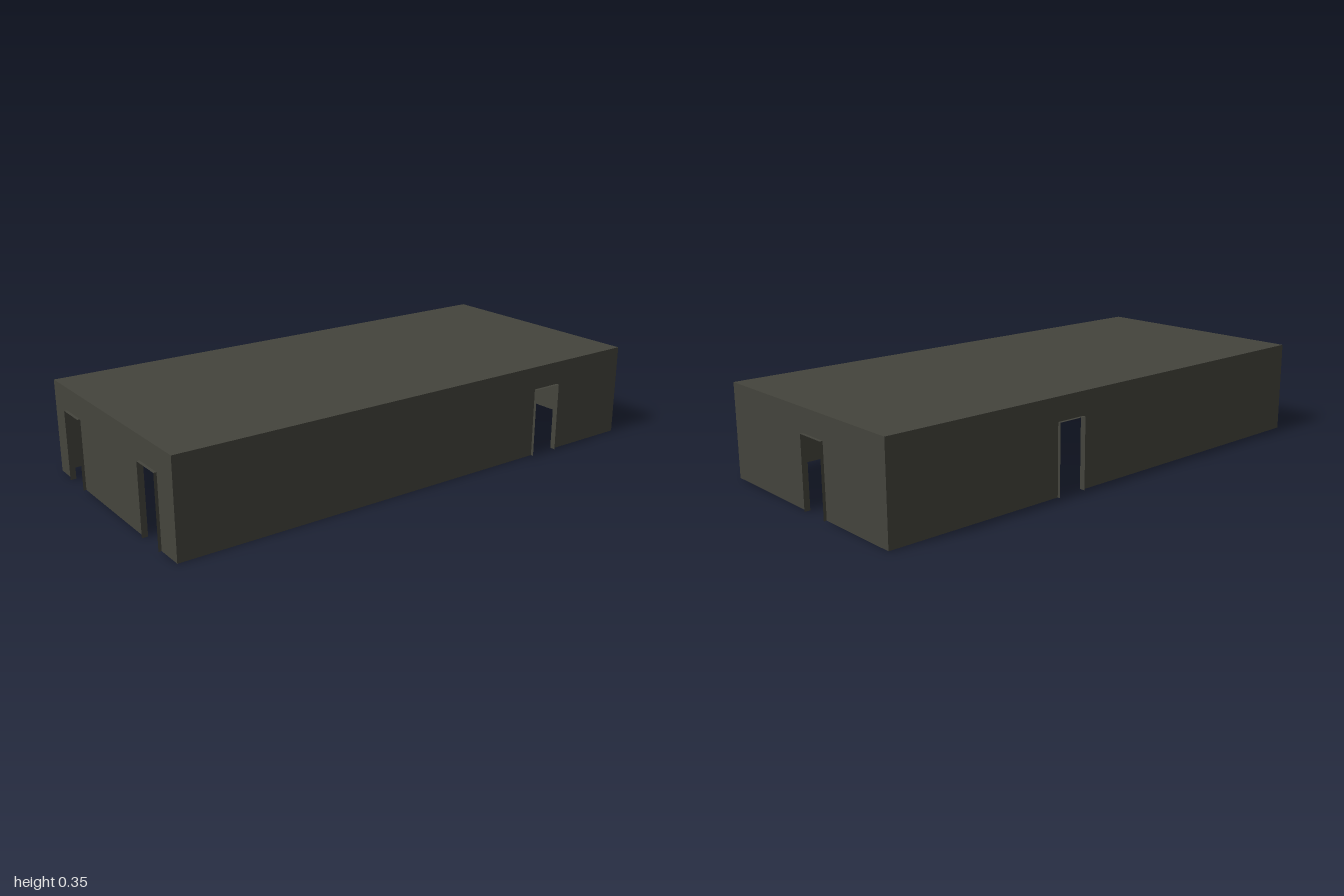
import * as THREE from 'three';

const HALF_X = 0.989, HALF_Z = 0.459, HEIGHT = 0.354;
const DOOR_W = 0.118, DOOR_H = 0.266, FRAME_DEPTH = 0.022;

export function createModel() {
  const model = new THREE.Group();
  model.name = 'building';
  const concrete = new THREE.MeshStandardMaterial({ color: 0x44443c, side: THREE.DoubleSide });
  concrete.name = 'dark olive grey';

  const add = (parent, geometry, name) => {
    const mesh = new THREE.Mesh(geometry, concrete);
    mesh.name = name;
    parent.add(mesh);
    return mesh;
  };

  // Thin open lining around a doorway: two jambs and a lintel
  function addDoorFrame(parent, u) {
    const frame = new THREE.Group();
    frame.name = 'doorFrame';
    frame.position.x = u;
    for (const side of [-1, 1]) {
      const jamb = add(frame, new THREE.PlaneGeometry(FRAME_DEPTH, DOOR_H), 'doorJamb');
      jamb.rotation.y = -side * Math.PI / 2;
      jamb.position.set(side * DOOR_W / 2, DOOR_H / 2, 0);
    }
    const lintel = add(frame, new THREE.PlaneGeometry(DOOR_W, FRAME_DEPTH), 'doorLintel');
    lintel.rotation.x = Math.PI / 2;
    lintel.position.y = DOOR_H;
    parent.add(frame);
  }

  // Wall sheet with doorways notched out of its lower edge
  function addWall(name, halfLength, distance, angle, doors) {
    const wall = new THREE.Group();
    wall.name = name;
    const shape = new THREE.Shape();
    shape.moveTo(-halfLength, 0);
    for (const u of doors) {
      shape.lineTo(u - DOOR_W / 2, 0);
      shape.lineTo(u - DOOR_W / 2, DOOR_H);
      shape.lineTo(u + DOOR_W / 2, DOOR_H);
      shape.lineTo(u + DOOR_W / 2, 0);
    }
    shape.lineTo(halfLength, 0);
    shape.lineTo(halfLength, HEIGHT);
    shape.lineTo(-halfLength, HEIGHT);
    add(wall, new THREE.ShapeGeometry(shape), name + 'Panel');
    doors.forEach(u => addDoorFrame(wall, u));
    wall.rotation.y = angle;
    wall.position.set(Math.sin(angle) * distance, 0, Math.cos(angle) * distance);
    model.add(wall);
  }

  addWall('frontWall', HALF_X, HALF_Z, 0, [0.585]);
  addWall('backWall', HALF_X, HALF_Z, Math.PI, [-0.234]);
  addWall('leftWall', HALF_Z, HALF_X, Math.PI / 2, [0.059]);
  addWall('rightWall', HALF_Z, HALF_X, -Math.PI / 2, [-0.295, 0.295]);

  // Flat roof, open underneath
  const roof = add(model, new THREE.PlaneGeometry(HALF_X * 2, HALF_Z * 2), 'roof');
  roof.rotation.x = -Math.PI / 2;
  roof.position.y = HEIGHT;

  return model;
}
